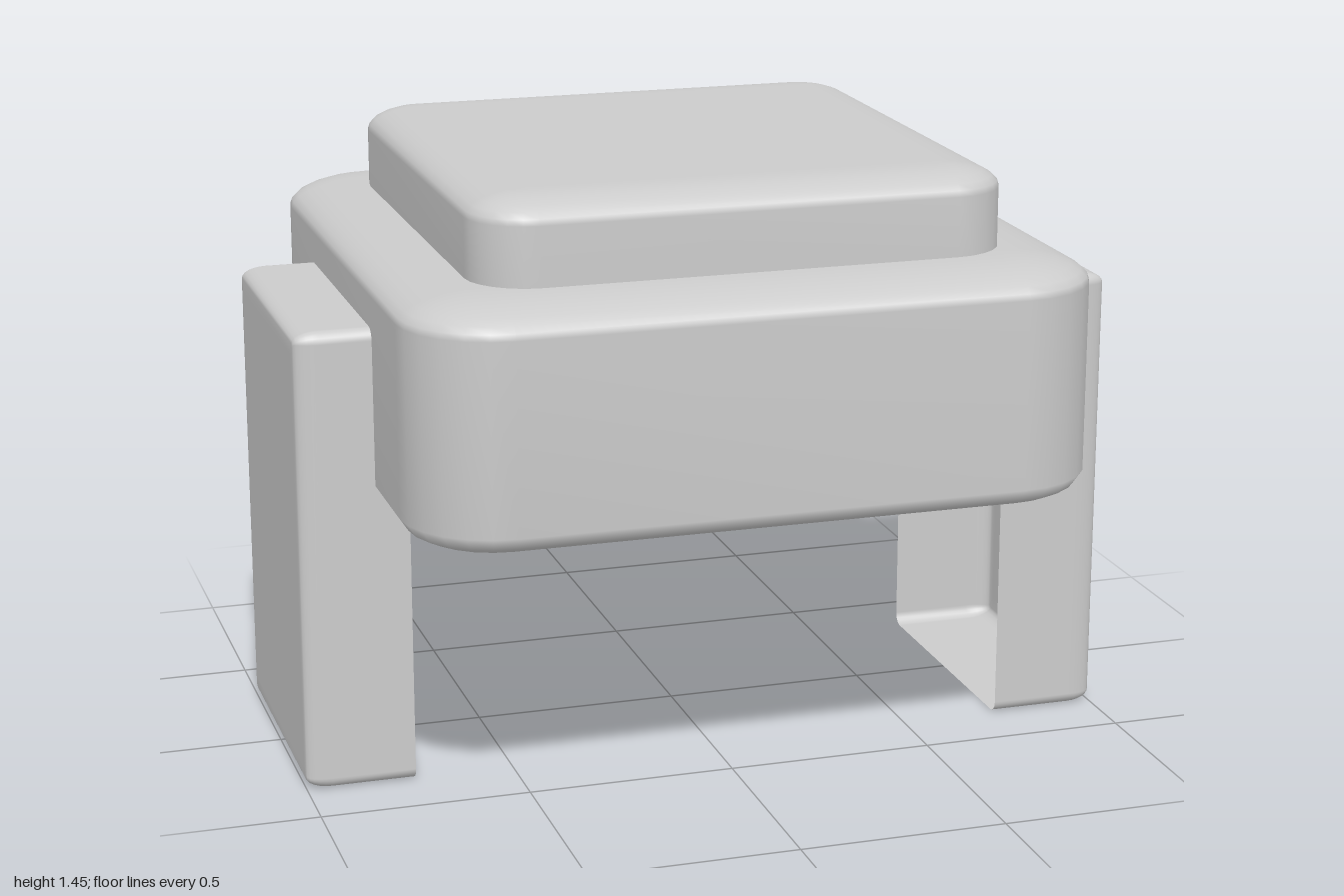
import * as THREE from 'three';

const material = new THREE.MeshStandardMaterial({ color: 0xcccccc, side: THREE.DoubleSide });
const CORNER_STEPS = 6;

// Rounded rectangle as a loop of [x, z], anticlockwise from above.
function roundedLoop(halfX, halfZ, radius) {
  const points = [];
  for (let corner = 0; corner < 4; corner++) {
    const sx = corner === 0 || corner === 3 ? 1 : -1;
    const sz = corner < 2 ? -1 : 1;
    for (let i = 0; i <= CORNER_STEPS; i++) {
      const a = (corner + i / CORNER_STEPS) * Math.PI / 2;
      points.push([
        sx * (halfX - radius) + radius * Math.cos(a),
        sz * (halfZ - radius) - radius * Math.sin(a),
      ]);
    }
  }
  return points;
}

// Thin skin through stacked loops, each given as [halfX, halfZ, radius, y].
function shell(name, sections) {
  const positions = [];
  const indices = [];
  const n = 4 * (CORNER_STEPS + 1);
  sections.forEach(([halfX, halfZ, radius, y], row) => {
    for (const [x, z] of roundedLoop(halfX, halfZ, radius)) positions.push(x, y, z);
    if (row === 0) return;
    for (let j = 0; j < n; j++) {
      const a = (row - 1) * n + j;
      const b = (row - 1) * n + (j + 1) % n;
      indices.push(a, b, a + n, b, b + n, a + n);
    }
  });
  const geometry = new THREE.BufferGeometry();
  geometry.setAttribute('position', new THREE.Float32BufferAttribute(positions, 3));
  geometry.setIndex(indices);
  geometry.computeVertexNormals();
  const mesh = new THREE.Mesh(geometry, material);
  mesh.name = name;
  return mesh;
}

// Sections for an open box whose closed end is rounded over and capped.
function cappedSections(halfX, halfZ, radius, y0, y1, inset, drop) {
  const sections = [[halfX, halfZ, radius, y0]];
  for (let i = 0; i <= 6; i++) {
    const a = i / 6 * Math.PI / 2;
    const inward = inset * (1 - Math.cos(a));
    sections.push([halfX - inward, halfZ - inward, Math.max(radius - inward, 0.01), y1 - drop * (1 - Math.sin(a))]);
  }
  const [x, z] = sections[sections.length - 1];
  sections.push([x * 0.95, z * 0.95, 0.01, y1], [0, 0, 0, y1]);
  return sections;
}

export function createModel() {
  const model = new THREE.Group();
  model.name = 'stool';

  // Seat base: hollow skin, open underneath and below the cushion
  const base = [[0.73, 0.73, 0.12, 0.685], [0.77, 0.77, 0.17, 0.695], [0.80, 0.80, 0.2, 0.71], [0.82, 0.82, 0.22, 0.74]];
  for (let i = 0; i <= 7; i++) {
    const a = i / 7 * Math.PI / 2;
    const half = 0.82 - 0.2 * (1 - Math.cos(a));
    base.push([half, half, half - 0.6, 1.19 + 0.067 * Math.sin(a)]);
  }
  base.push([0.59, 0.59, 0, 1.257]);
  model.add(shell('seatBase', base));

  // Cushion: hollow, open downwards
  model.add(shell('cushion', cappedSections(0.637, 0.637, 0.14, 1.25, 1.452, 0.13, 0.055)));

  // Side legs: thin slabs, open on the inner side
  for (const side of [1, -1]) {
    const slab = shell('legSlab', cappedSections(0.557, 0.347, 0.028, 0.74, 1, 0.026, 0.06));
    slab.rotation.z = -Math.PI / 2;
    slab.position.y = 0.557;
    const leg = new THREE.Group();
    leg.name = side > 0 ? 'leftLeg' : 'rightLeg';
    leg.rotation.y = side > 0 ? 0 : Math.PI;
    leg.add(slab);
    model.add(leg);
  }
  return model;
}
